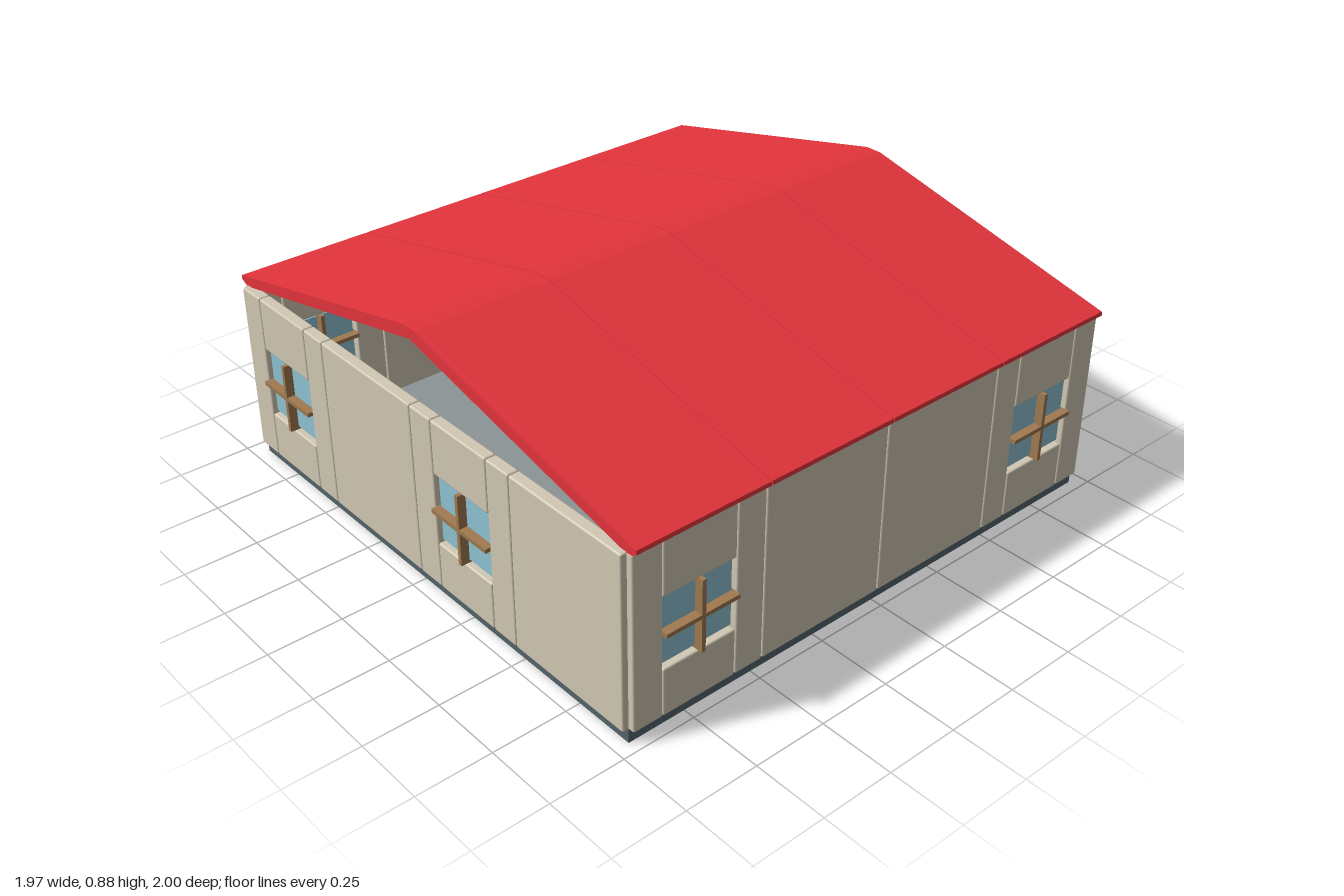
import * as THREE from 'three';
import { RoundedBoxGeometry } from 'three/addons/geometries/RoundedBoxGeometry.js';

const mat = (color, side = THREE.FrontSide) =>
  new THREE.MeshStandardMaterial({ color, side });

const MAT = {
  base: mat(0x53646c),
  floor: mat(0x8c9496),
  wall: mat(0xd2c9b4),
  glass: mat(0x8fc3d3),
  wood: mat(0xa07a50),
  canopy: mat(0xbf5f45),
  roof: mat(0xe2343b),
  board: mat(0x25282f),
  light: mat(0xd8202c),
};

const BASE_TOP = 0.045, WALL_TOP = 0.635;
const HALF = 0.95, PANEL = HALF / 2, MID_Z = 0.01;
const THICK = 0.04;
const OPEN = 0.265, POST = (PANEL - OPEN) / 2;

// Box given by its extents: [x0, x1], [y0, y1], [z0, z1]
function box(parent, name, material, [x0, x1], [y0, y1], [z0, z1], radius = 0) {
  const w = x1 - x0, h = y1 - y0, d = z1 - z0;
  const geometry = radius
    ? new RoundedBoxGeometry(w, h, d, 2, radius)
    : new THREE.BoxGeometry(w, h, d);
  const mesh = new THREE.Mesh(geometry, material);
  mesh.name = name;
  mesh.position.set((x0 + x1) / 2, (y0 + y1) / 2, (z0 + z1) / 2);
  parent.add(mesh);
  return mesh;
}

// Wall slab with softened edges and a hairline joint on each side
function slab(parent, name, [x0, x1], y) {
  const gap = 0.001;
  box(parent, name, MAT.wall, [x0 + gap, x1 - gap], y, [-THICK / 2, THICK / 2], 0.006);
}

// Two full-height posts beside an opening
function posts(panel) {
  for (const s of [-1, 1]) {
    const edges = [s * PANEL / 2, s * (PANEL / 2 - POST)].sort((a, b) => a - b);
    slab(panel, 'wallPost', edges, [BASE_TOP, WALL_TOP]);
  }
}

// Panel kinds, centred on x = 0 with the outside facing +z
const panels = {
  solid(p) {
    slab(p, 'solidPanel', [-PANEL / 2, PANEL / 2], [BASE_TOP, WALL_TOP]);
  },
  window(p) {
    const h = OPEN / 2;
    posts(p);
    slab(p, 'panelBelowWindow', [-h, h], [BASE_TOP, 0.207]);
    slab(p, 'panelAboveWindow', [-h, h], [0.45, WALL_TOP]);
    box(p, 'windowGlass', MAT.glass, [-0.125, 0.125], [0.218, 0.441], [-0.006, 0.006]);
    box(p, 'windowUpright', MAT.wood, [-0.007, 0.007], [0.207, 0.45], [-0.035, 0.035]);
    box(p, 'windowCrossbar', MAT.wood, [-h, h], [0.322, 0.336], [-0.035, 0.035]);
  },
  door(p) {
    const h = OPEN / 2;
    posts(p);
    slab(p, 'panelAboveDoor', [-h, h], [0.525, WALL_TOP]);
    box(p, 'doorLintel', MAT.wood, [-h - 0.005, h + 0.005], [0.515, 0.537], [-0.03, 0.04]);
    box(p, 'doorCanopy', MAT.canopy, [-PANEL / 2, PANEL / 2], [0.59, 0.615], [0.015, 0.05]);
  },
  sign(p) {
    panels.solid(p);
    box(p, 'signBoard', MAT.board, [-0.17, 0.17], [0.452, 0.545], [0.018, 0.05]);
    for (const x of [-0.1, 0, 0.1])
      box(p, 'signLight', MAT.light, [x - 0.027, x + 0.027], [0.472, 0.525], [0.045, 0.06]);
  },
};

// Row of four panels, turned to face outward
function wall(name, kinds, angle) {
  const g = new THREE.Group();
  g.name = name;
  kinds.forEach((kind, i) => {
    const p = new THREE.Group();
    p.name = kind + 'Section';
    p.position.x = (i - 1.5) * PANEL;
    panels[kind](p);
    g.add(p);
  });
  g.rotation.y = angle;
  g.position.set(Math.sin(angle) * HALF, 0, MID_Z + Math.cos(angle) * HALF);
  return g;
}

// Bent roof strips, extruded across x from a gable profile
function roof() {
  const g = new THREE.Group();
  g.name = 'roof';
  const half = [[0.03, 0.88], [0.985, 0.658], [0.988, 0.646], [0.97, 0.634], [0.94, 0.632]];
  const outline = [
    ...half,
    [0, 0.844],
    ...half.map(([z, y]) => [-z, y]).reverse(),
  ];
  const shape = new THREE.Shape(outline.map(([z, y]) => new THREE.Vector2(-z, y)));
  const width = PANEL - 0.004;
  const geometry = new THREE.ExtrudeGeometry(shape, { depth: width, bevelEnabled: false });
  geometry.translate(0, 0, -width / 2);
  geometry.rotateY(Math.PI / 2);
  for (let i = 0; i < 4; i++) {
    const strip = new THREE.Mesh(geometry, MAT.roof);
    strip.name = 'roofStrip';
    strip.position.set((i - 1.5) * PANEL, 0, MID_Z);
    g.add(strip);
  }
  return g;
}

export function createModel() {
  const house = new THREE.Group();
  house.name = 'house';

  // Foundation and floor
  const zBase = [MID_Z - HALF, MID_Z + HALF];
  box(house, 'foundation', MAT.base, [-HALF, HALF], [0, BASE_TOP], zBase);
  const inner = HALF - THICK / 2;
  box(house, 'floor', MAT.floor, [-inner, inner], [BASE_TOP - 0.01, BASE_TOP + 0.004],
    [MID_Z - inner, MID_Z + inner]);

  // Walls, listed left to right as seen from outside
  house.add(
    wall('frontWall', ['window', 'solid', 'solid', 'window'], 0),
    wall('backWall', ['window', 'door', 'sign', 'window'], Math.PI),
    wall('leftWall', ['solid', 'window', 'solid', 'window'], Math.PI / 2),
    wall('rightWall', ['window', 'solid', 'window', 'solid'], -Math.PI / 2),
    roof(),
  );
  return house;
}
